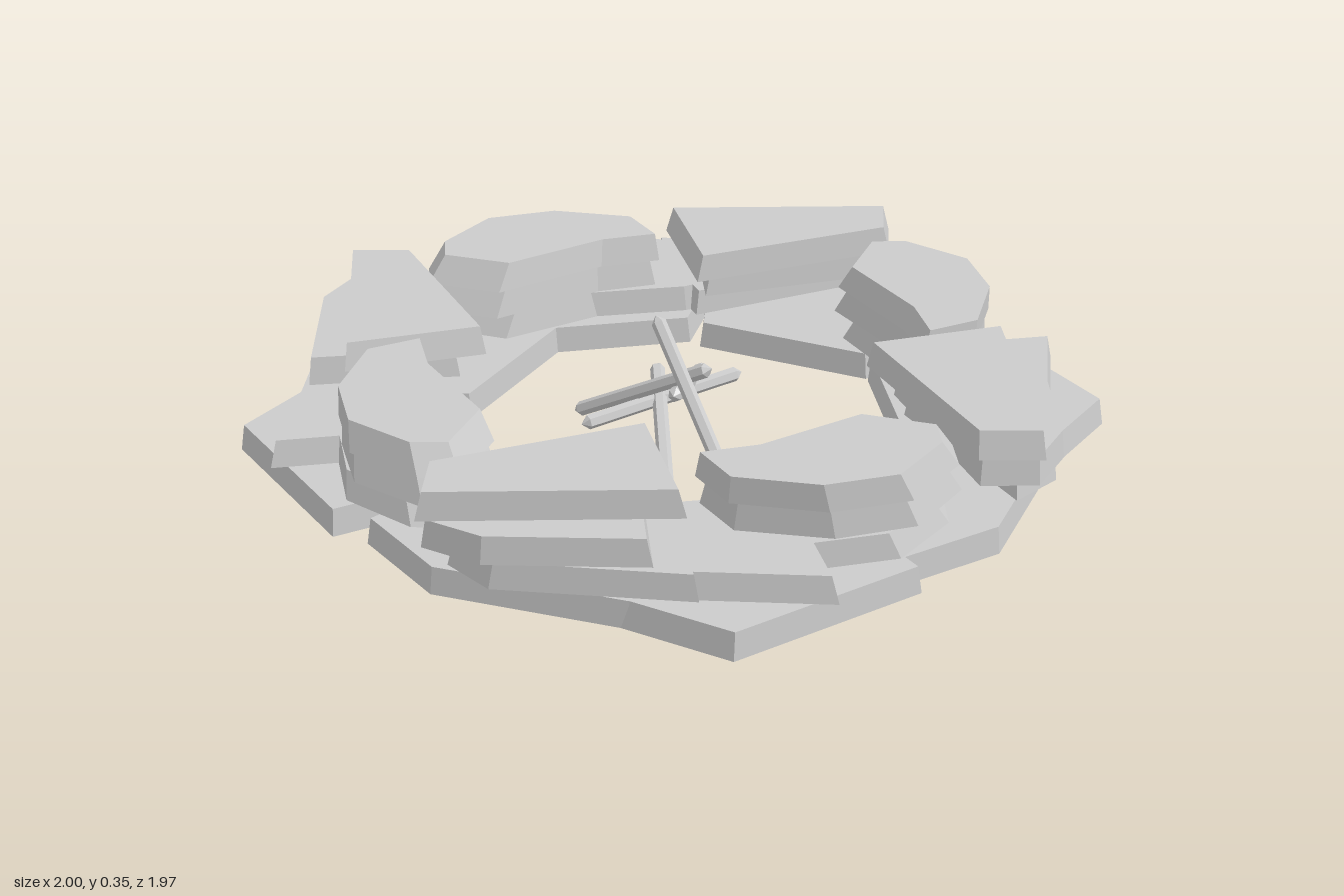
import * as THREE from 'three';

const stoneMat = new THREE.MeshStandardMaterial({ color: 0xcccccc, flatShading: true });

// Plan outlines [x, z] of the stone types, each lying at the back of the ring
const kite = [[-0.3, -0.985], [-0.18, -0.88], [-0.34, -0.34], [-0.67, -0.49]];
const broadKite = [[-0.45, -0.91], [-0.3, -0.97], [-0.19, -0.88], [-0.38, -0.4], [-0.7, -0.61]];
const slimKite = [[-0.45, -0.89], [-0.3, -0.9], [-0.42, -0.4], [-0.6, -0.45], [-0.79, -0.55]];
const crescent = [[-0.19, -0.785], [-0.085, -0.615], [0.23, -0.57], [0.375, -0.5],
  [0.405, -0.65], [0.26, -0.835], [0.075, -0.92], [-0.13, -0.865]];
const wedge = [[0.36, -0.975], [0.68, -0.66], [0.6, -0.4], [0.42, -0.44], [0.16, -0.6]];
const plate = [[0.09, -0.97], [0.62, -0.91], [0.72, -0.62], [0.4, -0.4], [0.06, -0.6], [0.05, -0.72]];
const footing = [[0.7, -0.66], [0.95, -0.23], [0.92, 0.06], [0.6, 0.08], [0.4, -0.36]];

// Courses from the ground up; each stone has a turn in degrees and a top inset
const courses = [
  { name: 'baseCourse', y0: 0.015, y1: 0.085, stones: [
    { outline: plate, turn: 0, inset: 0.97 },
    { outline: footing, turn: 0, inset: 0.97 },
  ] },
  { name: 'secondCourse', y0: 0.09, y1: 0.157, stones: [
    { outline: slimKite, turn: 0, inset: 0.95 },
    { outline: wedge, turn: 0, inset: 0.94 },
    { outline: crescent, turn: 2, inset: 0.91, shift: 0.02 },
  ] },
  { name: 'thirdCourse', y0: 0.16, y1: 0.23, stones: [
    { outline: broadKite, turn: 0, inset: 0.95 },
    { outline: crescent, turn: -1, inset: 0.91, shift: 0.02 },
  ] },
  { name: 'topCourse', y0: 0.232, y1: 0.303, stones: [
    { outline: kite, turn: 0, inset: 0.94 },
    { outline: crescent, turn: 0, inset: 0.91, shift: 0.025 },
  ] },
];

// Flat slab whose top face is drawn in toward its middle and may shift sideways
function slab(outline, y0, y1, inset, shift = 0) {
  const h = y1 - y0;
  const shape = new THREE.Shape(outline.map(([x, z]) => new THREE.Vector2(x, -z)));
  const geo = new THREE.ExtrudeGeometry(shape, { depth: h, bevelEnabled: false });
  geo.rotateX(-Math.PI / 2);
  const cx = outline.reduce((sum, p) => sum + p[0], 0) / outline.length;
  const cz = outline.reduce((sum, p) => sum + p[1], 0) / outline.length;
  const pos = geo.attributes.position;
  for (let i = 0; i < pos.count; i++) {
    const top = pos.getY(i) > h / 2;
    if (top) {
      pos.setX(i, cx + (pos.getX(i) - cx) * inset + shift);
      pos.setZ(i, cz + (pos.getZ(i) - cz) * inset);
    }
    pos.setY(i, top ? y1 : y0);
  }
  geo.computeVertexNormals();
  return geo;
}

// Six-sided stick with blunt pointed ends running from a to b
function stick(a, b) {
  const from = new THREE.Vector3(...a), to = new THREE.Vector3(...b);
  const half = from.distanceTo(to) / 2, r = 0.019;
  const profile = [[0, -half], [r, 0.02 - half], [r, half - 0.02], [0, half]]
    .map(([x, y]) => new THREE.Vector2(x, y));
  const mesh = new THREE.Mesh(new THREE.LatheGeometry(profile, 6), stoneMat);
  mesh.position.copy(from).add(to).multiplyScalar(0.5);
  mesh.quaternion.setFromUnitVectors(new THREE.Vector3(0, 1, 0), to.sub(from).normalize());
  mesh.name = 'stick';
  return mesh;
}

export function createModel() {
  const model = new THREE.Group();
  model.name = 'firePit';

  // Stone ring: every stone repeats four times, the side ones turned a little further
  for (const { name, y0, y1, stones } of courses) {
    const course = new THREE.Group();
    course.name = name;
    for (const { outline, turn, inset, shift } of stones) {
      const geo = slab(outline, y0, y1, inset, shift);
      for (let k = 0; k < 4; k++) {
        const mesh = new THREE.Mesh(geo, stoneMat);
        mesh.name = 'stone';
        mesh.rotation.y = -THREE.MathUtils.degToRad(turn + 90 * k + 3 * (k % 2));
        course.add(mesh);
      }
    }
    model.add(course);
  }

  // Loose pile of firewood in the middle
  const firewood = new THREE.Group();
  firewood.name = 'firewood';
  firewood.add(
    stick([-0.032, 0.352, -0.04], [-0.056, 0.005, 0.26]),
    stick([-0.12, 0.03, -0.26], [0.025, 0.24, 0.11]),
    stick([0.075, 0.14, -0.16], [-0.2, 0.02, 0.195]),
    stick([-0.22, 0.08, -0.11], [0.235, 0.12, -0.01]),
    stick([0.2, 0.1, -0.125], [-0.06, 0.17, 0.06]),
  );
  model.add(firewood);
  return model;
}
